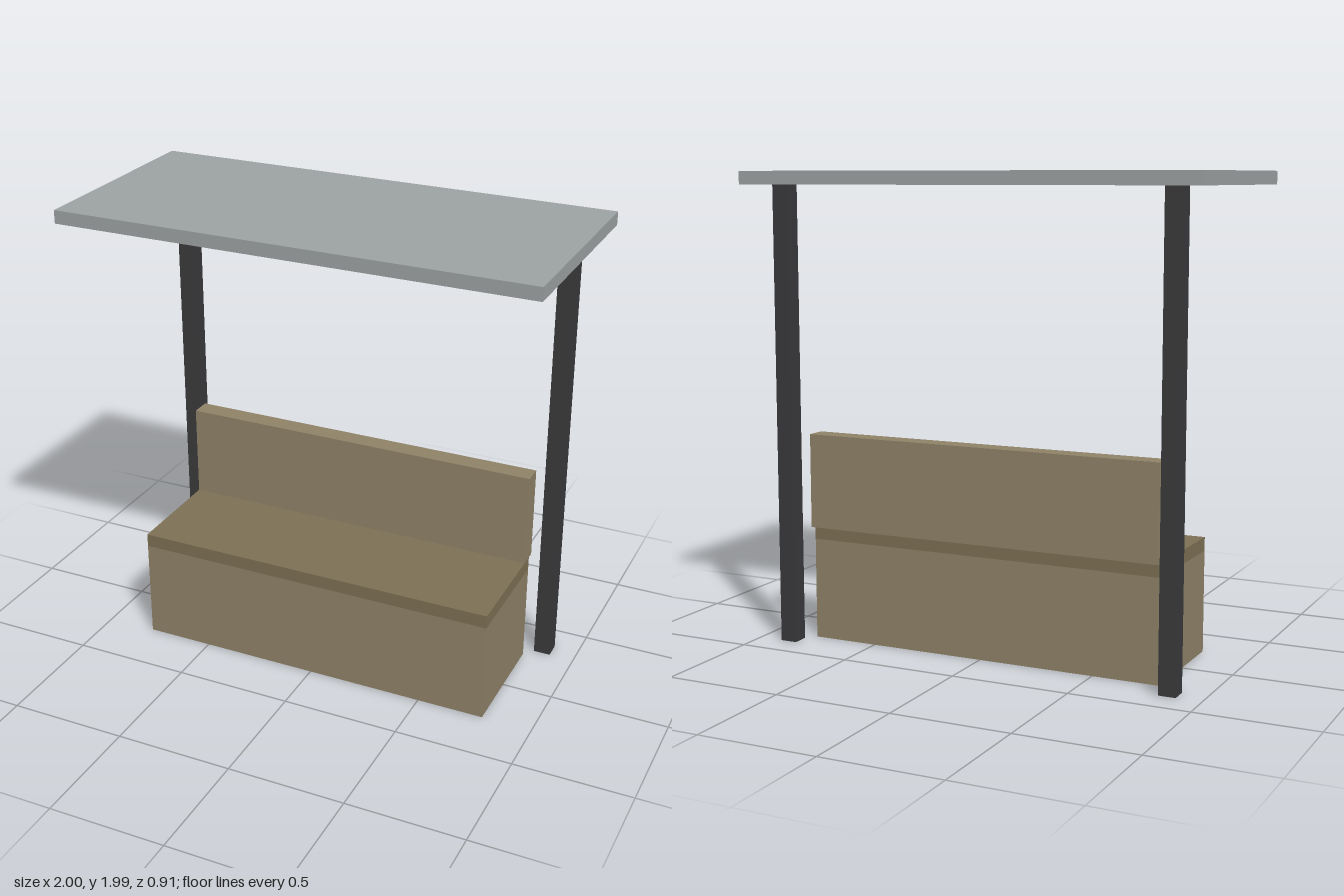
import * as THREE from 'three';

const mat = (color) => new THREE.MeshStandardMaterial({ color });

export function createModel() {
  const group = new THREE.Group();
  const wood = mat(0x8f8268), seatWood = mat(0x7d7054);
  const metal = mat(0x3a3a3c), roofing = mat(0x9da2a2);

  // Box given by its width (centred on x) and its y and z ranges
  function addBox(name, material, width, [y0, y1], [z0, z1], x = 0) {
    const mesh = new THREE.Mesh(new THREE.BoxGeometry(width, y1 - y0, z1 - z0), material);
    mesh.name = name;
    mesh.position.set(x, (y0 + y1) / 2, (z0 + z1) / 2);
    group.add(mesh);
  }

  // Bench: solid base, seat slab and backrest
  addBox('benchBase', wood, 1.572, [0, 0.432], [-0.258, 0.258]);
  addBox('seat', seatWood, 1.572, [0.432, 0.489], [-0.258, 0.258]);
  addBox('backrest', wood, 1.572, [0.489, 0.89], [-0.288, -0.202]);

  // Posts behind the bench
  for (const side of [-1, 1]) {
    addBox(side > 0 ? 'leftPost' : 'rightPost', metal, 0.072, [0, 1.936], [-0.372, -0.3], side * 0.858);
  }

  // Flat roof
  addBox('roof', roofing, 2, [1.936, 1.991], [-0.457, 0.457]);

  return group;
}
